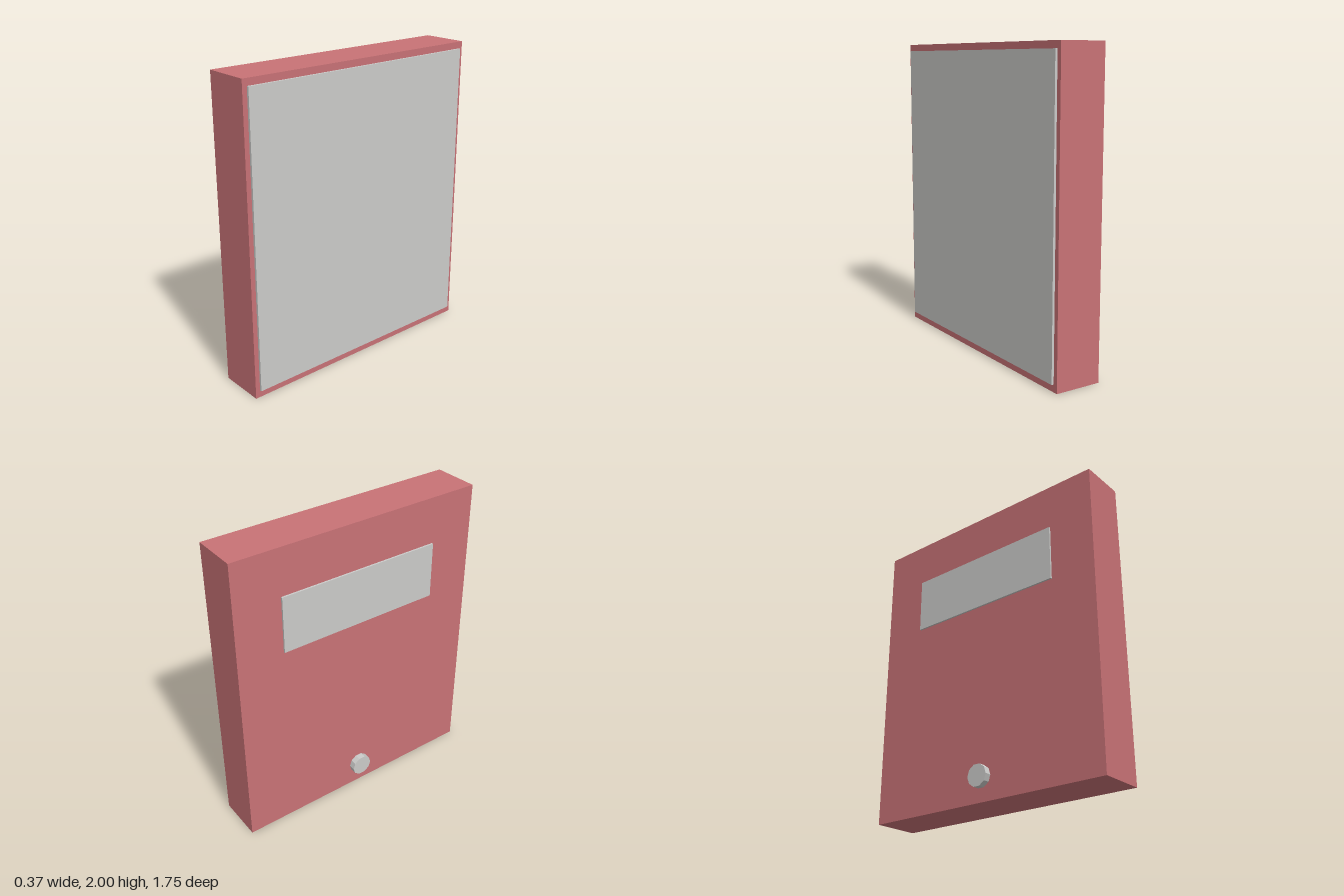
import * as THREE from 'three';

export function createModel() {
  const model = new THREE.Group();
  const red = new THREE.MeshStandardMaterial({ color: 0xc87276 });
  red.name = 'dusty red';
  const grey = new THREE.MeshStandardMaterial({ color: 0xcbcbc9 });
  grey.name = 'light grey';

  // Adds a box spanning the given min and max corners
  function box(name, material, min, max) {
    const size = max.map((v, i) => v - min[i]);
    const mesh = new THREE.Mesh(new THREE.BoxGeometry(...size), material);
    mesh.position.set(...max.map((v, i) => (v + min[i]) / 2));
    mesh.name = name;
    model.add(mesh);
  }

  // Upright slab with a large screen on its left side and a label plate on its right
  box('body', red, [-0.142, 0, -0.873], [0.168, 2, 0.873]);
  box('screen', grey, [0.16, 0.048, -0.842], [0.183, 1.956, 0.842]);
  box('labelPlate', grey, [-0.154, 1.316, -0.56], [-0.135, 1.69, 0.56]);

  // Faceted round button low on the right side
  const buttonGeometry = new THREE.CylinderGeometry(0.072, 0.072, 0.05, 10).toNonIndexed();
  buttonGeometry.computeVertexNormals();
  const button = new THREE.Mesh(buttonGeometry, grey);
  button.name = 'button';
  button.rotation.z = Math.PI / 2;
  button.position.set(-0.16, 0.158, -0.002);
  model.add(button);

  return model;
}
